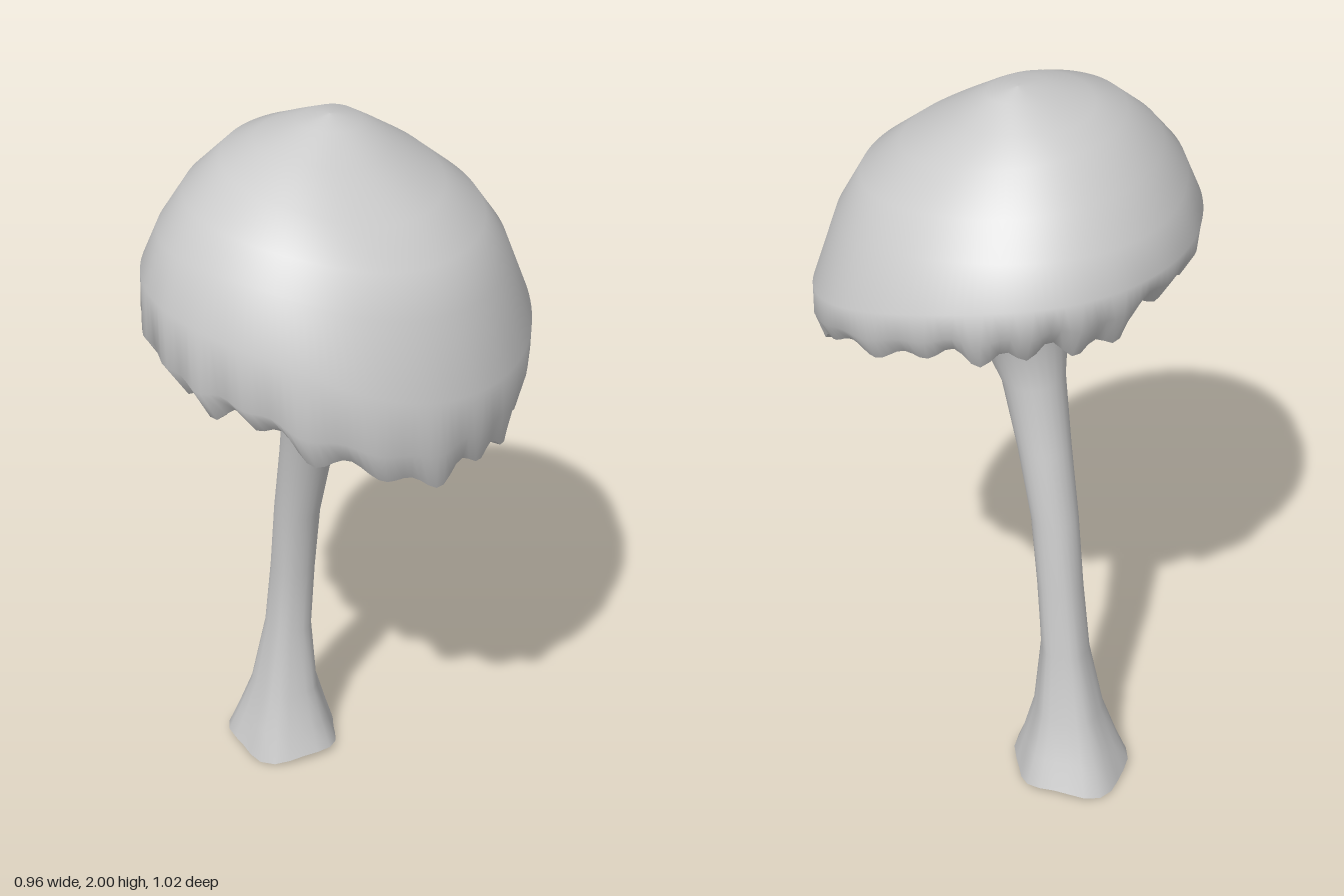
import * as THREE from 'three';

const TAU = Math.PI * 2;

// Skin closed rings of points (ordered top to bottom) with a smooth surface
function loft(name, ringCount, sides, pointAt) {
  const positions = [], index = [];
  for (let i = 0; i < ringCount; i++) {
    for (let j = 0; j < sides; j++) positions.push(...pointAt(i, (j / sides) * TAU));
  }
  for (let i = 0; i < ringCount - 1; i++) {
    for (let j = 0; j < sides; j++) {
      const k = (j + 1) % sides;
      const a = i * sides + j, b = i * sides + k, c = a + sides, d = b + sides;
      index.push(a, b, c, b, d, c);
    }
  }
  const geometry = new THREE.BufferGeometry();
  geometry.setAttribute('position', new THREE.Float32BufferAttribute(positions, 3));
  geometry.setIndex(index);
  geometry.computeVertexNormals();
  const material = new THREE.MeshStandardMaterial({ color: 0xcccccc, side: THREE.DoubleSide });
  const mesh = new THREE.Mesh(geometry, material);
  mesh.name = name;
  return mesh;
}

// Cap profiles [radius, height] toward the left, right, front and back
const APEX = [-0.04, 2, -0.04];
const LEFT = [[0.04, 1.98], [0.12, 1.925], [0.26, 1.83], [0.36, 1.75], [0.42, 1.64], [0.48, 1.44], [0.478, 1.34], [0.455, 1.25]];
const RIGHT = [[0.12, 1.985], [0.22, 1.945], [0.29, 1.92], [0.38, 1.83], [0.44, 1.73], [0.48, 1.64], [0.47, 1.59], [0.435, 1.555]];
const FRONT = [[0.05, 1.99], [0.16, 1.95], [0.28, 1.89], [0.37, 1.82], [0.44, 1.75], [0.49, 1.60], [0.51, 1.46], [0.455, 1.39]];
const BACK = [[0.12, 1.99], [0.20, 1.945], [0.28, 1.89], [0.37, 1.81], [0.44, 1.73], [0.50, 1.62], [0.505, 1.55], [0.47, 1.49]];
const RIM = LEFT.length - 1;

// Smooth bump, 1 at the given angle and fading around it
const near = (a, angle) => Math.exp((Math.cos(a - angle) - 1) / 0.12);

// Uneven scallops, about 0 to 1, calmer at the back left
const flute = (a) =>
  0.5 + (1 - 0.6 * near(a, -0.8)) * (0.32 * Math.sin(21 * a + 1.5 * Math.sin(3 * a)) + 0.22 * Math.sin(10 * a + 1));

// Point of the cap: an off-centre oval ring, tilted and scalloped at the rim
function capPoint(i, a) {
  if (i < 0) return APEX;
  const [[rl, yl], [rr, yr], [rf, yf], [rb, yb]] = [LEFT[i], RIGHT[i], FRONT[i], BACK[i]];
  const c = Math.cos(a), s = Math.sin(a), t = i / RIM;
  // fuller corners, rolling in again at the rim
  const roll = i === RIM ? 0.4 : t;
  const bulge = 1 + roll * (0.06 * near(a, 2.3) + 0.05 * near(a, -2.2) + 0.03 * near(a, -0.8));
  let x = bulge * ((rl - rr) / 2 + ((rl + rr) / 2) * c);
  let z = bulge * ((rf - rb) / 2 + ((rf + rb) / 2) * s);
  let y = ((yl + yr) * c * c + (yf + yb) * s * s + (yl - yr) * c + (yf - yb) * s) / 2;
  y -= 0.035 * t * near(a, 0.8);
  if (i >= RIM - 1) {
    // rim droops on the right and lifts at the back left
    const grow = i === RIM ? 1 : 0.4;
    const depth = 0.6 - 0.4 * Math.cos(a + 0.5);
    const swell = 1 + 0.05 * grow * depth * (flute(a) - 0.5);
    const droop = 0.06 * near(a, 2.3) + 0.06 * near(a, -2.36) - 0.05 * near(a, -0.8);
    x *= swell;
    z *= swell;
    y -= grow * (droop + 0.055 * (flute(a) - 0.4));
  }
  return [x, y, z];
}

// Underside rings, from the rolled lip inward: [share of the rim radius, rise, pleat depth]
const GILLS = [[1, 0, 0], [0.93, 0.005, 0.02], [0.84, 0.05, 0.05], [0.66, 0.1, 0.035], [0.45, 0.11, 0]];

function gillPoint(i, a) {
  const [share, rise, pleat] = GILLS[i];
  const [x, y, z] = capPoint(RIM, a);
  const base = 1.4 - 0.3 * x * share - 0.04 * z * share;
  const height = THREE.MathUtils.lerp(base, y, share);
  return [x * share, height + rise - pleat * (flute(a) - 0.5), z * share];
}

// Stem sections: [height, x, z, radius, tilt, lobe depth]
const STEM = [
  [1.52, 0.005, 0, 0.22, 0.33, 0],
  [1.46, -0.005, 0, 0.195, 0.33, 0],
  [1.40, -0.02, 0, 0.16, 0.3, 0],
  [1.30, -0.05, -0.01, 0.112, 0.2, 0],
  [1.18, -0.08, -0.028, 0.083, 0.1, 0],
  [1.00, -0.122, -0.065, 0.071, 0, 0],
  [0.80, -0.162, -0.095, 0.063, 0, 0],
  [0.60, -0.185, -0.115, 0.062, 0, 0.02],
  [0.40, -0.205, -0.127, 0.066, 0, 0.04],
  [0.20, -0.217, -0.125, 0.095, 0, 0.05],
  [0.09, -0.225, -0.132, 0.13, 0, 0.05],
  [0.01, -0.228, -0.135, 0.158, 0, 0.05],
];

function stemPoint(i, a) {
  const [y, x, z, radius, tilt, lobe] = STEM[i];
  const r = radius * (1 + lobe * (Math.sin(5 * a + 0.6) + Math.sin(2 * a)));
  const dx = r * Math.cos(a);
  const hem = i === STEM.length - 1 ? 0.01 * Math.sin(3 * a) : 0;
  return [x + dx, y - tilt * dx + hem, z + r * Math.sin(a)];
}

export function createModel() {
  const model = new THREE.Group();
  model.name = 'mushroom';
  model.add(
    loft('cap', LEFT.length + 1, 130, (i, a) => capPoint(i - 1, a)),
    loft('gills', GILLS.length, 130, gillPoint),
    loft('stem', STEM.length, 24, stemPoint),
  );
  return model;
}
